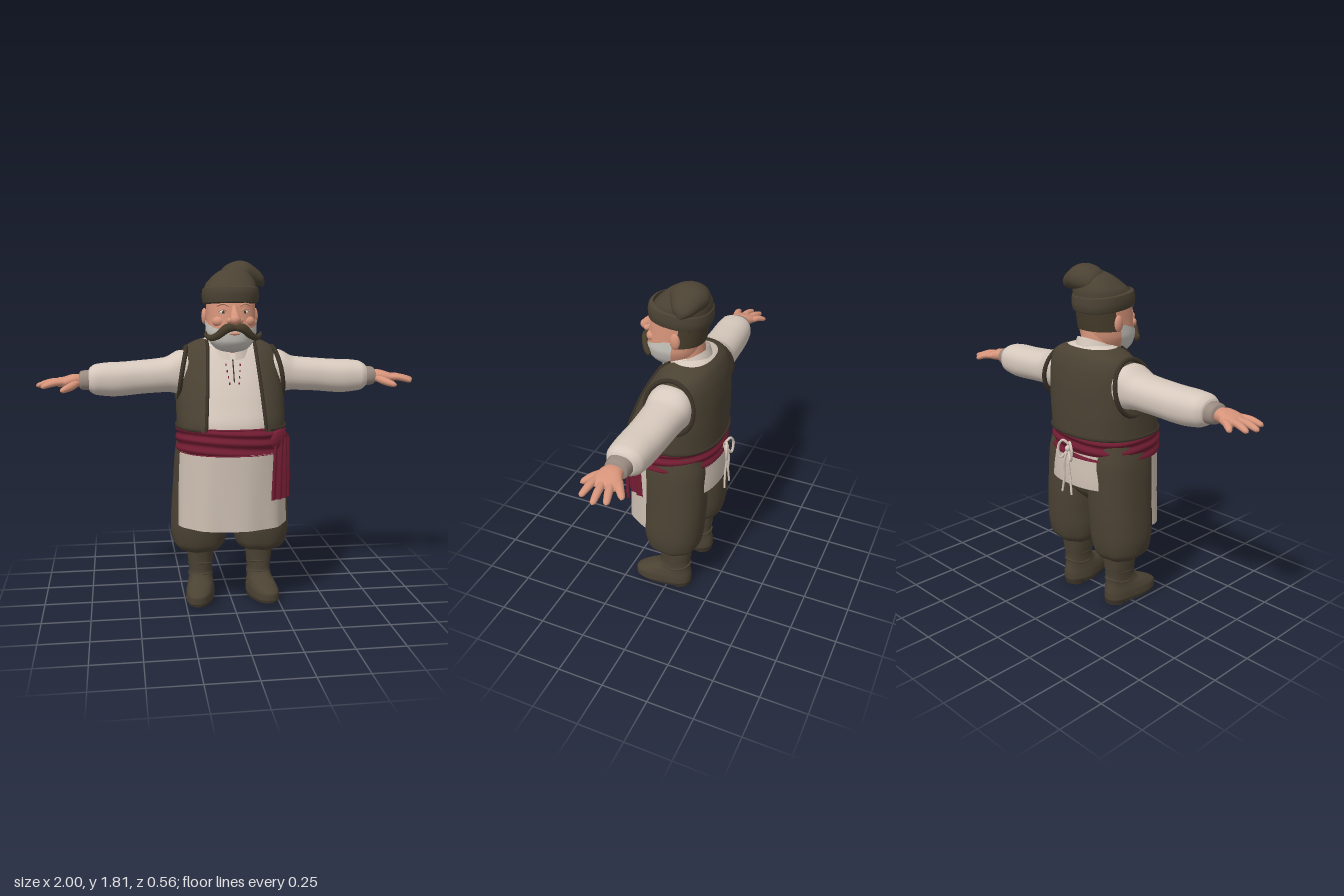
import * as THREE from 'three';

const V = (x, y, z) => new THREE.Vector3(x, y, z);
const val = (f, ...a) => (typeof f === 'function' ? f(...a) : f);
const PI = Math.PI;

// Monotone smooth interpolation of rows [t, ...values] at t
function sample(keys, t) {
  const n = keys.length;
  let i = 0;
  while (i < n - 2 && t > keys[i + 1][0]) i++;
  const h = keys[i + 1][0] - keys[i][0];
  const s = THREE.MathUtils.clamp((t - keys[i][0]) / h, 0, 1);
  return keys[0].slice(1).map((_, j) => {
    const k = j + 1;
    const d = (a) => (a < 0 || a > n - 2 ? null : (keys[a + 1][k] - keys[a][k]) / (keys[a + 1][0] - keys[a][0]));
    const slope = (a, b) => (a === null ? b : b === null ? a : a * b <= 0 ? 0 : (2 * a * b) / (a + b));
    const m0 = slope(d(i - 1), d(i)), m1 = slope(d(i), d(i + 1));
    const s2 = s * s, s3 = s2 * s;
    return (2 * s3 - 3 * s2 + 1) * keys[i][k] + (s3 - 2 * s2 + s) * h * m0 + (3 * s2 - 2 * s3) * keys[i + 1][k] + (s3 - s2) * h * m1;
  });
}

// Point on a body of rows [y, centreX, radiusX, backZ, frontZ]; angle 0 is the front
const P = 0.87;
const bend = (v) => Math.sign(v) * Math.abs(v) ** P;
function at(keys, y, a, off = 0) {
  const [cx, rx, zb, zf] = sample(keys, y);
  return V(cx + (rx + off) * bend(Math.sin(a)), y, (zb + zf) / 2 + ((zf - zb) / 2 + off) * bend(Math.cos(a)));
}
const angleAt = (keys, y, x) => Math.asin(Math.min(0.99, Math.abs(x) / sample(keys, y)[1]) ** (1 / P)) * Math.sign(x);

// Smooth surface from fn(u, v)
function grid(fn, nu, nv, closed = false) {
  const pos = [], idx = [], w = closed ? nu : nu + 1;
  for (let j = 0; j <= nv; j++) for (let i = 0; i < w; i++) pos.push(...fn(i / nu, j / nv).toArray());
  for (let j = 0; j < nv; j++) for (let i = 0; i < nu; i++) {
    const a = j * w + i, b = j * w + ((i + 1) % w);
    idx.push(a, b, a + w, b, b + w, a + w);
  }
  const g = new THREE.BufferGeometry();
  g.setAttribute('position', new THREE.Float32BufferAttribute(pos, 3));
  g.setIndex(idx);
  g.computeVertexNormals();
  return g;
}
// Whole closed body
function body(keys, off = 0, nu = 40, nv = 32) {
  return grid((u, v) => {
    const f = v * (keys.length - 1), i = Math.min(Math.floor(f), keys.length - 2);
    const y = THREE.MathUtils.lerp(keys[i][0], keys[i + 1][0], f - i);
    return at(keys, y, u * 2 * PI, val(off, u, v));
  }, nu, nv, true);
}
// Part of a body between heights and angles
function shell(keys, y0, y1, a0, a1, off = 0, nu = 40, nv = 20) {
  return grid((u, v) => {
    const y = THREE.MathUtils.lerp(val(y0, u), val(y1, u), v);
    return at(keys, y, THREE.MathUtils.lerp(val(a0, y), val(a1, y), u), val(off, u, v));
  }, nu, nv);
}
// Tube of changing radius
function taper(pts, radii, sn = 1, sb = 1, nv = 18, nu = 14) {
  const c = new THREE.CatmullRomCurve3(pts.map((p) => V(...p)));
  const rows = radii.map((r, i) => [i / (radii.length - 1), r]);
  return grid((u, v) => {
    const t = c.getTangent(v), ref = Math.abs(t.y) > 0.9 ? V(0, 0, 1) : V(0, 1, 0);
    const b = t.clone().cross(ref).normalize(), n = b.clone().cross(t);
    const r = sample(rows, v)[0], a = u * 2 * PI;
    return c.getPoint(v).addScaledVector(n, r * sn * Math.cos(a)).addScaledVector(b, r * sb * Math.sin(a));
  }, nu, nv, true);
}
const tube = (pts, r, closed = false) => new THREE.TubeGeometry(new THREE.CatmullRomCurve3(pts, closed), 48, r, 8, closed);
const ball = (x, y, z, rx, ry, rz) => new THREE.SphereGeometry(1, 20, 14).scale(rx, ry, rz).translate(x, y, z);
const steps = (n, fn) => Array.from({ length: n + 1 }, (_, i) => fn(i / n));
function flip(g) {
  const a = g.index.array;
  for (let i = 0; i < a.length; i += 3) [a[i], a[i + 1]] = [a[i + 1], a[i]];
  g.computeVertexNormals();
  return g;
}
// Body laid along x
const along = (g) => {
  const p = g.attributes.position;
  for (let i = 0; i < p.count; i++) p.setXY(i, p.getY(i), p.getX(i));
  return flip(g);
};

export function createModel() {
  const model = new THREE.Group();
  const mat = (name, color, side = THREE.FrontSide) => Object.assign(new THREE.MeshStandardMaterial({ color, side }), { name });
  const skin = mat('skin', 0xd6947a), linen = mat('linen', 0xd6c8bc, 2), apron = mat('apron cloth', 0xcdbfb2, 2);
  const brown = mat('brown wool', 0x4b4233, 2), dark = mat('dark trim', 0x3a3228, 2), hair = mat('hair', 0x463c2b, 2);
  const red = mat('sash red', 0x701c31, 2), grey = mat('grey beard', 0xc9c5be, 2), cuffM = mat('cuff', 0x9a8a80), white = mat('eye white', 0xe8e4dc);
  const add = (name, geo, m) => {
    const mesh = new THREE.Mesh(geo, m);
    mesh.name = name;
    model.add(mesh);
  };
  const pair = (name, geo, m) => {
    add(name + 'Left', geo, m);
    add(name + 'Right', flip(geo.clone().scale(-1, 1, 1)), m);
  };

  // Shirt and open waistcoat
  const torso = [[0.88, 0, 0.27, -0.215, 0.25], [0.97, 0, 0.27, -0.22, 0.25], [1.08, 0, 0.27, -0.223, 0.212], [1.2, 0, 0.26, -0.222, 0.158],
    [1.3, 0, 0.248, -0.212, 0.1], [1.36, 0, 0.222, -0.195, 0.06], [1.395, 0, 0.165, -0.175, 0.03], [1.42, 0, 0.09, -0.14, 0]];
  add('shirt', body(torso), linen);
  const edge = (y) => angleAt(torso, y, THREE.MathUtils.lerp(0.145, 0.112, (y - 0.96) / 0.45));
  add('waistcoat', shell(torso, 0.955, 1.408, edge, (y) => 2 * PI - edge(y), 0.014, 64, 32), brown);
  pair('waistcoatEdge', tube(steps(14, (t) => { const y = 0.96 + t * 0.44; return at(torso, y, edge(y), 0.015); }), 0.009), dark);
  add('waistcoatHem', tube(steps(30, (t) => at(torso, 0.965, 0.6 + t * (2 * PI - 1.2), 0.015)), 0.008), dark);
  pair('armholeTrim', tube(steps(23, (t) => {
    const a = t * 23 / 24 * 2 * PI, s = Math.sin(a);
    return V(0.262 - 0.022 * s - 0.012 * s * s, 1.225 + 0.14 * s, -0.045 + 0.128 * Math.cos(a));
  }), 0.012, true), dark);

  // Collar and stitched placket
  add('collar', grid((u, v) => {
    const a = 0.12 + u * (2 * PI - 0.24), r = 0.122 - 0.014 * v;
    return V(r * Math.sin(a), 1.36 - 0.052 * Math.cos(a) + 0.045 * v, -0.025 + (r + 0.008) * Math.cos(a));
  }, 40, 4), linen);
  const strip = (name, x0, x1, y0, y1, m) =>
    add(name, shell(torso, y0, y1, (y) => angleAt(torso, y, x0), (y) => angleAt(torso, y, x1), 0.004, 2, 8), m);
  strip('placketSlit', -0.003, 0.003, 1.2, 1.31, dark);
  for (const s of [-1, 1]) for (let i = 0; i < 4; i++) {
    const x = s * (0.024 + 0.004 * i), y = 1.19 + i * 0.03;
    strip('stitch', x - 0.003, x + 0.003, y, y + 0.011, red);
  }

  // Sleeves, cuffs and hands
  pair('sleeve', along(body([[0.2, 1.235, 0.11, -0.16, 0.06], [0.26, 1.235, 0.113, -0.167, 0.065], [0.34, 1.222, 0.09, -0.155, 0.06], [0.46, 1.213, 0.087, -0.145, 0.06],
    [0.6, 1.204, 0.088, -0.132, 0.068], [0.69, 1.205, 0.08, -0.12, 0.066], [0.725, 1.205, 0.062, -0.095, 0.05], [0.735, 1.205, 0.04, -0.07, 0.03]], 0, 32, 42)), linen);
  pair('cuff', along(body([[0.715, 1.203, 0.045, -0.078, 0.035], [0.73, 1.203, 0.052, -0.085, 0.042], [0.772, 1.203, 0.047, -0.08, 0.036], [0.782, 1.203, 0.028, -0.06, 0.02]], 0, 24, 12)), cuffM);
  pair('palm', along(body([[0.76, 1.203, 0.03, -0.058, 0.018], [0.8, 1.203, 0.033, -0.07, 0.04], [0.85, 1.197, 0.027, -0.088, 0.05],
    [0.885, 1.192, 0.019, -0.085, 0.042], [0.9, 1.19, 0.004, -0.06, 0.02]], 0, 24, 20)), skin);
  const fingers = [[0.925, 1.178, -0.122, -0.07], [0.982, 1.178, -0.078, -0.038], [1, 1.176, -0.022, -0.005], [0.972, 1.176, 0.05, 0.028]];
  for (const [x, y, z, z0] of fingers)
    pair('finger', taper([[0.835, 1.198, z0], [(0.835 + x) / 2, 1.196, (z0 + z) / 2], [x - 0.012, y + 0.004, z * 0.96 + z0 * 0.04], [x, y, z]], [0.018, 0.019, 0.014, 0], 0.85), skin);
  pair('thumb', taper([[0.785, 1.195, 0.01], [0.82, 1.18, 0.06], [0.86, 1.166, 0.098], [0.872, 1.163, 0.108]], [0.02, 0.022, 0.015, 0], 0.9), skin);

  // Baggy trousers
  add('trouserSeat', body([[0.56, 0, 0.01, -0.1, 0.03], [0.64, 0, 0.18, -0.17, 0.12], [0.78, 0, 0.26, -0.2, 0.17], [0.93, 0, 0.265, -0.2, 0.2]]), brown);
  pair('trouserLeg', body([[0.275, 0.162, 0.065, -0.1, 0.04], [0.285, 0.165, 0.11, -0.145, 0.09], [0.33, 0.168, 0.14, -0.175, 0.118], [0.42, 0.167, 0.152, -0.19, 0.132],
    [0.6, 0.157, 0.15, -0.2, 0.14], [0.8, 0.148, 0.145, -0.2, 0.16], [0.93, 0.14, 0.13, -0.18, 0.16]],
  (u, v) => 0.005 * Math.sin(u * 2 * PI * 8) * Math.max(0, 1 - v * 2.2)), brown);

  // Boots, with toes turned out
  const turn = (g) => {
    const p = g.attributes.position;
    for (let i = 0; i < p.count; i++) p.setX(i, p.getX(i) + 0.16 * Math.max(0, p.getZ(i)));
    g.computeVertexNormals();
    return g;
  };
  pair('boot', turn(body([[0.012, 0.16, 0.06, -0.11, 0.15], [0.03, 0.162, 0.076, -0.125, 0.192], [0.065, 0.162, 0.075, -0.125, 0.192], [0.095, 0.161, 0.069, -0.12, 0.15],
    [0.125, 0.16, 0.063, -0.115, 0.075], [0.16, 0.16, 0.062, -0.115, 0.05], [0.22, 0.16, 0.068, -0.122, 0.052], [0.29, 0.16, 0.073, -0.13, 0.06]])), brown);
  for (const y of [0.14, 0.2])
    pair('bootCrease', tube(steps(15, (t) => V(0.16 + 0.061 * Math.sin(t * 15 / 16 * 2 * PI), y + 0.01 * Math.cos(t * 12), -0.034 + 0.083 * Math.cos(t * 15 / 16 * 2 * PI))), 0.006, true), brown);
  pair('sole', turn(new THREE.CylinderGeometry(1, 1, 0.02, 28).scale(0.072, 1, 0.155).rotateX(-0.05).translate(0.16, 0.02, 0.035)), dark);
  pair('heel', new THREE.CylinderGeometry(0.062, 0.06, 0.032, 20).translate(0.16, 0.016, -0.06), dark);

  // Apron, front and back, tied behind
  const skirt = [[0.44, 0, 0.293, -0.22, 0.265], [0.7, 0, 0.287, -0.235, 0.262], [0.88, 0, 0.278, -0.222, 0.26]];
  add('apronFront', shell(skirt, 0.445, 0.87, -1.35, 1.35, (u, v) => 0.004 * Math.sin(u * 26) * (1 - v)), apron);
  add('apronBack', shell(skirt, 0.69, 0.87, PI - 1.15, PI + 1.15), apron);
  pair('bowLoop', tube([V(0, 0.9, -0.24), V(0.025, 0.935, -0.262), V(0.05, 0.9, -0.272), V(0.038, 0.84, -0.268), V(0.012, 0.87, -0.255)], 0.007, true), linen);
  pair('bowTail', tube([V(0, 0.9, -0.245), V(0.015, 0.83, -0.262), V(0.022, 0.74, -0.258), V(0.035, 0.65, -0.262)], 0.006), linen);
  add('bowKnot', ball(0, 0.893, -0.253, 0.014, 0.017, 0.013), linen);

  // Pleated sash with a hanging end on the left
  const waist = [[0.835, 0, 0.27, -0.212, 0.255], [0.845, 0, 0.28, -0.222, 0.266], [0.91, 0, 0.282, -0.224, 0.266], [0.965, 0, 0.28, -0.224, 0.258], [0.975, 0, 0.268, -0.214, 0.248]];
  add('sash', body(waist, (u, v) => 0.004 + 0.006 * Math.sin(v * 30 + 1.5 * Math.sin(u * 4 * PI)), 64, 48), red);
  const hang = (name, u0, u1, bottom, lift) => add(name, grid((u, v) => {
    const t = THREE.MathUtils.lerp(u0, u1, u), bow = 0.03 * Math.sin(t * PI) + lift + 0.006 * Math.sin(u * 20);
    const spread = 1 - 0.25 * v;
    return V(0.238 + (t - 0.5) * 0.135 * spread + bow * 0.7, THREE.MathUtils.lerp(bottom, 0.92, v), 0.165 - (t - 0.5) * 0.145 * spread + bow * 0.7);
  }, 24, 10), red);
  hang('sashEndLong', 0, 0.62, 0.6, 0.012);
  hang('sashEndShort', 0.35, 1.05, 0.665, 0);
  add('sashKnot', ball(0, 0, 0, 0.068, 0.058, 0.028).rotateY(0.75).translate(0.228, 0.905, 0.187), red);

  // Head
  const head = [[1.345, 0, 0.015, 0.03, 0.08], [1.355, 0, 0.06, -0.02, 0.118], [1.375, 0, 0.09, -0.06, 0.145], [1.41, 0, 0.113, -0.09, 0.165], [1.46, 0, 0.127, -0.108, 0.17],
    [1.53, 0, 0.126, -0.122, 0.162], [1.6, 0, 0.124, -0.13, 0.152], [1.68, 0, 0.09, -0.1, 0.11]];
  add('head', body(head, 0, 40, 42), skin);
  add('neck', new THREE.CylinderGeometry(0.09, 0.1, 0.2, 28).translate(0, 1.42, -0.025), skin);
  add('beard', shell(head, 1.346, (u) => 1.462 + 0.05 * Math.min(1, Math.abs(u - 0.5) * 2.2) ** 2, -1.72, 1.72, 0.004), grey);
  add('hair', shell(head, 1.485, 1.62, 1.85, 2 * PI - 1.85, 0.007), hair);
  pair('ear', ball(0.132, 1.525, -0.02, 0.016, 0.042, 0.026), skin);
  add('nose', taper([[0, 1.585, 0.145], [0, 1.555, 0.165], [0, 1.525, 0.188], [0, 1.505, 0.2]], [0.01, 0.018, 0.026, 0.012]), skin);
  add('noseTip', ball(0, 1.517, 0.197, 0.028, 0.025, 0.027), skin);
  pair('nostril', ball(0.026, 1.512, 0.178, 0.016, 0.015, 0.018), skin);
  pair('cheek', ball(0.072, 1.505, 0.125, 0.036, 0.028, 0.03), skin);
  pair('eye', ball(0.055, 1.553, 0.143, 0.018, 0.011, 0.009), white);
  pair('iris', ball(0.054, 1.553, 0.1505, 0.007, 0.008, 0.003), hair);
  pair('eyelid', tube([V(0.033, 1.556, 0.152), V(0.055, 1.567, 0.15), V(0.078, 1.555, 0.138)], 0.004), skin);
  pair('eyebrow', tube([V(0.025, 1.583, 0.158), V(0.055, 1.594, 0.149), V(0.085, 1.584, 0.132)], 0.005), skin);
  add('lip', ball(0, 1.447, 0.172, 0.028, 0.008, 0.009), skin);
  pair('moustache', taper([[-0.004, 1.478, 0.18], [0.04, 1.474, 0.18], [0.085, 1.437, 0.158], [0.12, 1.425, 0.128], [0.14, 1.442, 0.116], [0.134, 1.457, 0.116]],
    [0.015, 0.023, 0.019, 0.015, 0.01, 0], 1, 0.8, 28), hair);

  // Soft cap with turned-up band and drooping tip
  const cap = [[1.64, 0, 0.138, -0.15, 0.148], [1.68, 0.003, 0.132, -0.148, 0.125], [1.72, 0.012, 0.108, -0.135, 0.085], [1.755, 0.022, 0.072, -0.11, 0.04], [1.775, 0.03, 0.015, -0.06, 0]];
  add('capCrown', body(cap), brown);
  const band = [[1.585, 0, 0.128, -0.136, 0.152], [1.592, 0, 0.14, -0.149, 0.162], [1.63, 0, 0.146, -0.156, 0.164], [1.664, 0, 0.143, -0.154, 0.156], [1.673, 0, 0.125, -0.138, 0.138]];
  const bandGeo = body(band), bp = bandGeo.attributes.position;
  for (let i = 0; i < bp.count; i++) bp.setY(i, bp.getY(i) + 0.08 * bp.getZ(i));
  bandGeo.computeVertexNormals();
  add('capBand', bandGeo, brown);
  add('capTip', taper([[-0.055, 1.7, -0.03], [0.0, 1.715, -0.05], [0.06, 1.735, -0.065], [0.12, 1.722, -0.07], [0.165, 1.698, -0.07], [0.188, 1.675, -0.068]],
    [0, 0.065, 0.073, 0.055, 0.034, 0], 1, 1.35, 28, 24), brown);
  return model;
}
